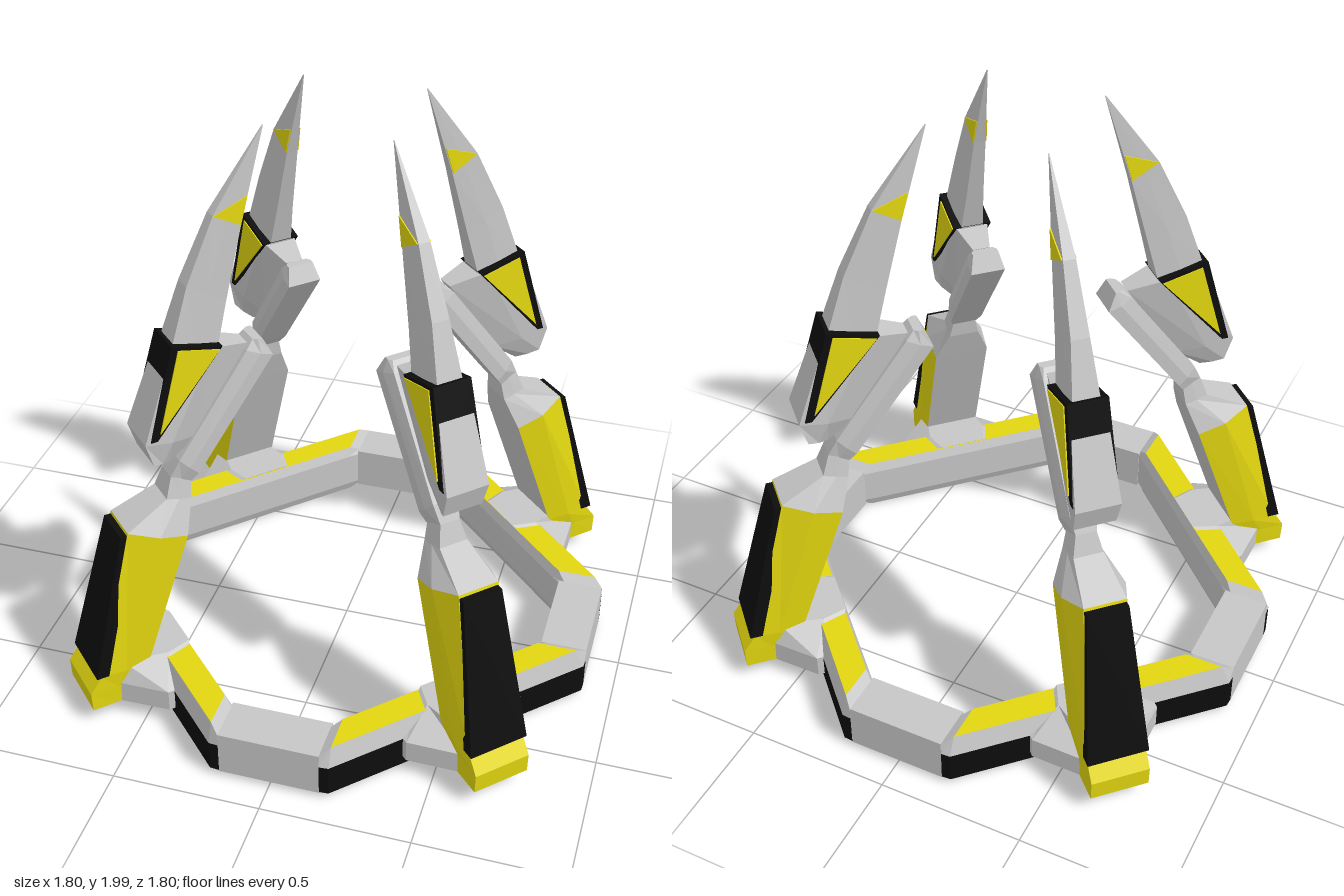
import * as THREE from 'three';

const gray = new THREE.MeshStandardMaterial({ color: 0xc6c6c6 });
const yellow = new THREE.MeshStandardMaterial({ color: 0xe2d60f });
const black = new THREE.MeshStandardMaterial({ color: 0x0d0d0d });
gray.name = 'light gray';
yellow.name = 'yellow';
black.name = 'black';
const palette = [gray, yellow, black];
const [G, Y, B] = [0, 1, 2];

// Flat-faced skin through matching cross-sections of [r, y, t] points, with caps.
// paint(band, side) picks the palette index; band -1 is the first cap, -2 the last.
function loft(name, sections, paint) {
  const tris = [[], [], []];
  const n = sections[0].length;
  const add = (c, ...pts) => tris[c].push(pts);
  for (let i = 0; i < sections.length - 1; i++) {
    for (let j = 0; j < n; j++) {
      const k = (j + 1) % n, c = paint(i, j);
      const [p, q] = [sections[i], sections[i + 1]];
      add(c, p[j], p[k], q[k]);
      add(c, p[j], q[k], q[j]);
    }
  }
  const cap = (s, c, flip) => {
    const mid = [0, 1, 2].map(a => s.reduce((sum, p) => sum + p[a], 0) / n);
    s.forEach((p, j) => {
      const q = s[(j + 1) % n];
      if (flip) add(c, mid, q, p); else add(c, mid, p, q);
    });
  };
  cap(sections[0], paint(-1, 0), true);
  cap(sections[sections.length - 1], paint(-2, 0), false);

  // Turn the faces outward whatever the order of the sections
  let volume = 0;
  const v = a => new THREE.Vector3(...a);
  tris.flat().forEach(([a, b, c]) => { volume += v(a).dot(v(b).cross(v(c))); });
  const pos = [];
  const geo = new THREE.BufferGeometry();
  tris.forEach((list, c) => {
    const start = pos.length / 3;
    list.forEach(([p, q, s]) => pos.push(...p, ...(volume < 0 ? s : q), ...(volume < 0 ? q : s)));
    if (list.length) geo.addGroup(start, list.length * 3, c);
  });
  geo.setAttribute('position', new THREE.Float32BufferAttribute(pos, 3));
  geo.computeVertexNormals();
  const mesh = new THREE.Mesh(geo, palette);
  mesh.name = name;
  return mesh;
}

// Six-sided beam: each row is inner r, y, outer r, y, then half-widths inner, middle, outer
function beam(name, rows, paint = () => G) {
  return loft(name, rows.map(([ra, ya, rb, yb, h1, h2, h3]) => {
    const rm = (ra + rb) / 2, ym = (ya + yb) / 2;
    return [[ra, ya, -h1], [rm, ym, -h2], [rb, yb, -h3], [rb, yb, h3], [rm, ym, h2], [ra, ya, h1]];
  }), paint);
}

// Slab through the body showing as a thin plate on both sides; points are r, y, half-width
function sidePlates(name, pts, color) {
  return loft(name, [-1, 1].map(s => pts.map(([r, y, h]) => [r, y, s * h])), () => color);
}

// Thick corner section of the ring
function ringCorner() {
  const full = [[.65, .045], [.65, .175], [.664, .21], [.757, .21], [.778, .145], [.778, .035], [.757, .01], [.664, .01]];
  const end = [[.65, .045], [.65, .175], [.66, .19], [.757, .19], [.757, .145], [.757, .035], [.755, .03], [.66, .03]];
  const at = (profile, side, cut) => profile.map(([r, y]) => [r, y, side * (r - cut)]);
  const colors = [G, G, Y, G, B, G, Y, G];
  return loft('ringCorner', [at(end, -1, .24), at(full, -1, .285), at(full, 1, .285), at(end, 1, .24)],
    (band, side) => band === 1 ? colors[side] : band >= 0 && side === 4 ? B : G);
}

// Bracket that ties the leg to the ring
function bracket() {
  const plan = (y, pts) => [...pts.map(([r, t]) => [r, y, -t]), ...pts.slice().reverse().map(([r, t]) => [r, y, t])];
  const base = [[.74, .22], [.80, .22], [.933, .09]];
  return loft('bracket', [plan(.07, base), plan(.148, base), plan(.218, [[.66, .085], [.745, .11], [.9, .08]])], () => G);
}

function pylon() {
  const g = new THREE.Group();
  g.name = 'pylon';
  g.add(
    bracket(),
    // Leg with yellow flanks and a gray inner face
    beam('leg', [
      [.864, .07, 1.025, .07, .1, .1, .1],
      [.838, .14, 1.028, .14, .1, .102, .1],
      [.814, .2, .985, .2, .1, .108, .1],
      [.645, .67, .84, .73, .1, .108, .072],
    ], (band, side) => band < 0 || side === 5 ? G : Y),
    beam('shoulder', [
      [.645, .67, .84, .73, .1, .108, .072],
      [.607, .78, .69, .8, .055, .055, .05],
      [.598, .85, .665, .87, .04, .04, .035],
    ]),
    // Black guard on the outer face of the leg
    loft('legGuard', [
      [[.96, .2, -.105], [1.003, .2, -.105], [1.003, .2, .105], [.96, .2, .105]],
      [[.82, .72, -.07], [.865, .72, -.07], [.865, .72, .07], [.82, .72, .07]],
    ], () => B),
    beam('forearm', [
      [.598, .84, .665, .87, .045, .04, .035],
      [.575, .87, .635, .93, .058, .058, .045],
      [.30, 1.24, .385, 1.27, .06, .06, .045],
      [.328, 1.3, .358, 1.3, .045, .045, .035],
    ]),
    // Housing that carries the blade
    beam('bladeHousing', [
      [.66, .93, .732, .96, .03, .055, .07],
      [.565, 1.0, .757, 1.045, .032, .066, .075],
      [.375, 1.29, .64, 1.36, .03, .062, .055],
    ]),
    sidePlates('housingTrim', [[.475, 1.325, .066], [.645, 1.37, .066], [.738, 1.05, .076], [.715, 1.05, .076]], B),
    sidePlates('housingInlay', [[.485, 1.318, .07], [.625, 1.352, .07], [.705, 1.075, .08]], Y),
    beam('blade', [
      [.48, 1.31, .635, 1.355, .04, .046, .045],
      [.44, 1.46, .57, 1.54, .03, .034, .03],
      [.375, 1.7, .468, 1.75, .02, .021, .02],
      [.283, 2, .286, 2, .001, .001, .001],
    ]),
    sidePlates('bladeMark', [[.35, 1.79, .019], [.465, 1.75, .024], [.377, 1.7, .024]], Y),
  );
  return g;
}

export function createModel() {
  const model = new THREE.Group();
  model.name = 'pylonRing';
  for (let i = 0; i < 4; i++) {
    const quarter = new THREE.Group();
    quarter.name = 'quarter';
    quarter.rotation.y = i * Math.PI / 2;
    const straight = new THREE.Mesh(new THREE.BoxGeometry(.342, .16, .155), gray);
    straight.name = 'ringStraight';
    straight.position.set(0, .11, .8225);
    const diagonal = new THREE.Group();
    diagonal.name = 'diagonal';
    diagonal.rotation.y = -Math.PI / 4;
    diagonal.add(ringCorner(), pylon());
    quarter.add(straight, diagonal);
    model.add(quarter);
  }
  return model;
}
